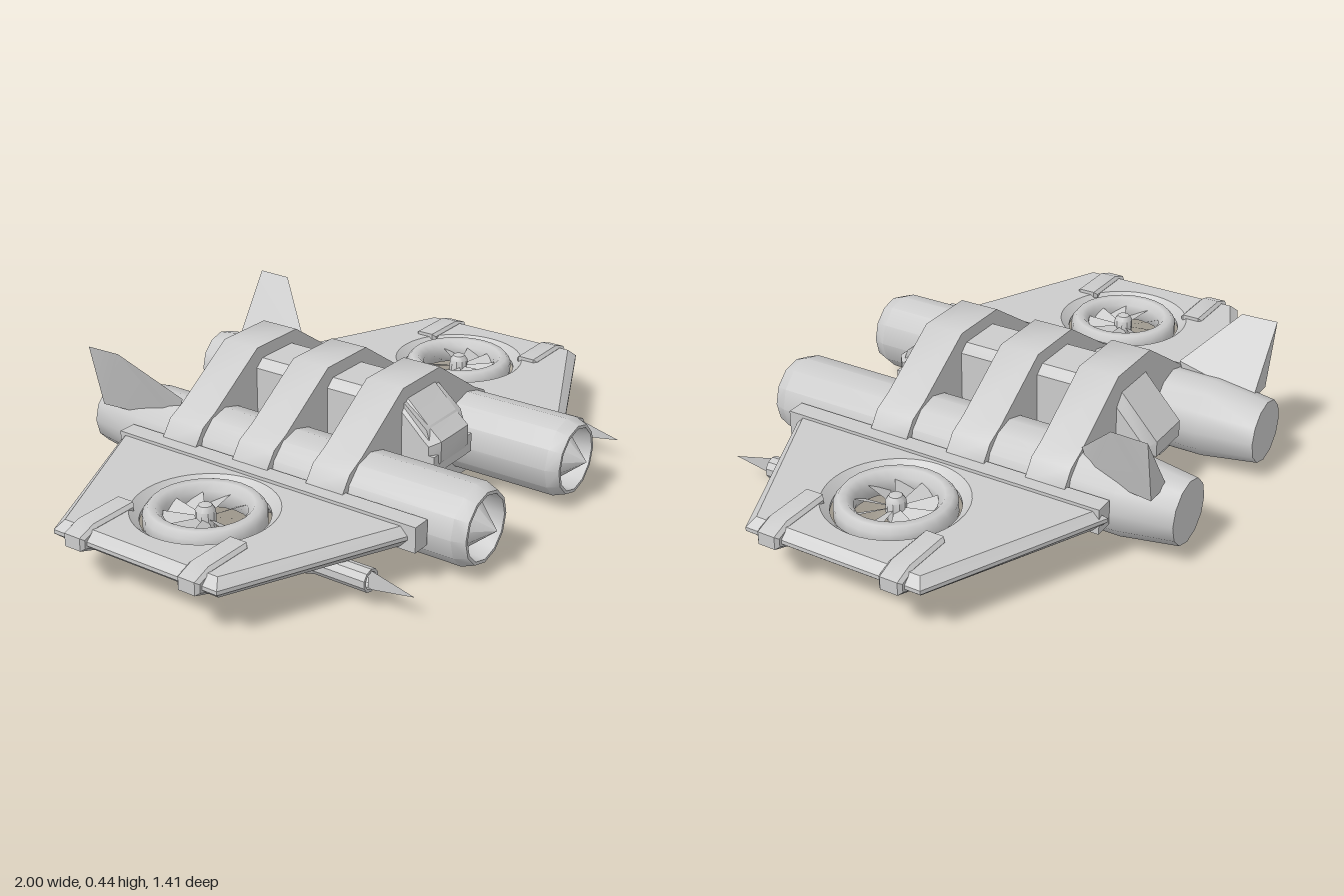
import * as THREE from 'three';
import { toCreasedNormals } from 'three/addons/utils/BufferGeometryUtils.js';
import { ConvexGeometry } from 'three/addons/geometries/ConvexGeometry.js';

const material = new THREE.MeshStandardMaterial({ color: 0xcccccc });
const thinMaterial = new THREE.MeshStandardMaterial({ color: 0xcccccc, side: THREE.DoubleSide });

const toShape = (points) => new THREE.Shape(points.map(([x, y]) => new THREE.Vector2(x, y)));

// Extrusion centred on its own depth axis
function slab(shape, depth, bevelThickness = 0, bevelSize = 0) {
  const geo = new THREE.ExtrudeGeometry(shape, {
    depth, curveSegments: 24, bevelEnabled: bevelThickness > 0,
    bevelThickness, bevelSize, bevelOffset: -bevelSize, bevelSegments: 1,
  });
  return geo.translate(0, 0, -depth / 2);
}

const lathe = (points, sides) =>
  new THREE.LatheGeometry(points.map(([r, y]) => new THREE.Vector2(r, y)), sides);

// Reflects a geometry across x = 0 and restores its winding
function reflect(source) {
  const geo = source.index ? source.toNonIndexed() : source.clone();
  geo.scale(-1, 1, 1);
  const p = geo.attributes.position;
  const b = new THREE.Vector3(), c = new THREE.Vector3();
  for (let i = 0; i < p.count; i += 3) {
    b.fromBufferAttribute(p, i + 1);
    c.fromBufferAttribute(p, i + 2);
    p.setXYZ(i + 1, c.x, c.y, c.z);
    p.setXYZ(i + 2, b.x, b.y, b.z);
  }
  return geo;
}

export function createModel() {
  const model = new THREE.Group();
  model.name = 'twinEngineAircraft';

  function add(name, geo, crease = 0.6, mat = material) {
    const mesh = new THREE.Mesh(toCreasedNormals(geo, crease), mat);
    mesh.name = name;
    model.add(mesh);
  }
  function addPair(name, geo, crease, mat) {
    add(name + 'Left', geo, crease, mat);
    add(name + 'Right', reflect(geo), crease, mat);
  }

  // Central fuselage: side profile (z, y) with chamfered long edges
  const hull = toShape([
    [-0.51, 0.17], [0.38, 0.165], [0.4, 0.2], [0.4, 0.265], [0.37, 0.29],
    [0.28, 0.375], [-0.37, 0.375], [-0.51, 0.22],
  ]);
  add('fuselage', slab(hull, 0.15, 0.03, 0.025).rotateY(-Math.PI / 2));

  // Nose block and windscreen
  add('nose', new THREE.BoxGeometry(0.21, 0.06, 0.12).translate(0, 0.195, 0.335));
  add('windscreen', slab(toShape([
    [0.26, 0.27], [0.37, 0.27], [0.36, 0.3], [0.27, 0.375],
  ]), 0.19).rotateY(-Math.PI / 2));

  // Three bands that bind the fuselage and engines together
  const half = [
    [0.1, 0.075], [0.2, 0], [0.32, 0], [0.38, 0.05], [0.41, 0.11],
    [0.41, 0.19], [0.37, 0.245], [0.31, 0.275], [0.1, 0.415],
  ];
  const bandShape = toShape([...half, ...half.map(([x, y]) => [-x, y]).reverse()]);
  [0.215, -0.055, -0.325].forEach((z, i) =>
    add('band' + (i + 1), slab(bandShape, 0.13).translate(0, 0, z), 0.8));

  // Engines with open intakes and pointed spinners
  addPair('engine', lathe([
    [0, -0.71], [0.1, -0.71], [0.125, -0.53], [0.125, 0.63],
    [0.11, 0.67], [0.1, 0.67], [0.095, 0.58], [0, 0.58],
  ], 12).rotateX(Math.PI / 2).translate(0.265, 0.15, 0));
  addPair('engineSpinner', new THREE.ConeGeometry(0.09, 0.105, 8)
    .rotateX(Math.PI / 2).translate(0.265, 0.15, 0.6525), 0.9);

  // Tail fins: wedges leaning outwards to a thin tip
  addPair('tailFin', new ConvexGeometry([
    [0.31, 0.285, -0.39], [0.31, 0.2, -0.42], [0.29, 0.23, -0.65], [0.385, 0.23, -0.65],
    [0.425, 0.437, -0.54], [0.43, 0.437, -0.655],
  ].map((p) => new THREE.Vector3(...p))), 0.3);

  // Wings with sharp edges and a round opening for the lift fan
  const fanX = 0.675;
  const wing = toShape([[0.425, -0.54], [0.98, -0.29], [0.98, 0.29], [0.425, 0.54]]);
  wing.holes.push(new THREE.Path().absarc(fanX, 0, 0.186, 0, Math.PI * 2, true));
  addPair('wing', slab(wing, 0.012, 0.025, 0.028)
    .rotateX(Math.PI / 2).translate(0, 0.154, 0), 0.4);
  addPair('wingRoot', new THREE.BoxGeometry(0.06, 0.08, 1.08).translate(0.42, 0.155, 0.015));

  // Wingtip pods
  const pod = toShape([
    [0.78, 0.115], [0.94, 0.115], [0.998, 0.135], [0.998, 0.175], [0.94, 0.196], [0.78, 0.196],
  ]);
  [['front', 0.203], ['rear', -0.203]].forEach(([end, z]) =>
    addPair(end + 'WingtipPod', slab(pod, 0.056, 0.01, 0.01).translate(0, 0, z)));

  // Lift fans: ring, hub and pitched blades
  addPair('fanRing', lathe([
    [0.13, 0.12], [0.162, 0.12], [0.177, 0.138], [0.177, 0.178], [0.162, 0.196],
    [0.14, 0.196], [0.12, 0.175], [0.12, 0.14], [0.13, 0.12],
  ], 24).translate(fanX, 0, 0), 0.9);
  addPair('fanHub', lathe([
    [0, 0.12], [0.03, 0.12], [0.03, 0.18], [0.02, 0.195], [0, 0.2],
  ], 10).translate(fanX, 0, 0));
  const blade = toShape([[0.02, -0.009], [0.122, -0.042], [0.122, 0.042], [0.02, 0.009]]);
  const bladeCount = 9;
  for (let i = 0; i < bladeCount; i++) {
    addPair('fanBlade' + (i + 1), new THREE.ShapeGeometry(blade).rotateX(-Math.PI / 2 + 0.5)
      .rotateY((i / bladeCount) * Math.PI * 2).translate(fanX, 0.155, 0), 0.3, thinMaterial);
  }

  // Underwing guns: barrel, rounded breech, mount and thin front blade
  const gunX = 0.597;
  addPair('gunBarrel', lathe([
    [0, 0.3], [0.035, 0.3], [0.035, 0.51], [0.026, 0.51], [0.026, 0.47], [0, 0.47],
  ], 10).rotateX(Math.PI / 2).translate(gunX, 0.085, 0));
  addPair('gunBreech', lathe([
    [0, 0.205], [0.025, 0.215], [0.038, 0.245], [0.04, 0.31], [0.033, 0.335], [0, 0.335],
  ], 10).rotateX(Math.PI / 2).translate(gunX, 0.083, 0), 0.9);
  addPair('gunMount', new THREE.BoxGeometry(0.04, 0.05, 0.1).translate(gunX, 0.12, 0.27));
  addPair('gunBlade', new THREE.ShapeGeometry(toShape([[0.5, 0.055], [0.65, 0.08], [0.5, 0.118]]))
    .rotateY(-Math.PI / 2).translate(gunX, 0, 0), 0.3, thinMaterial);

  return model;
}
